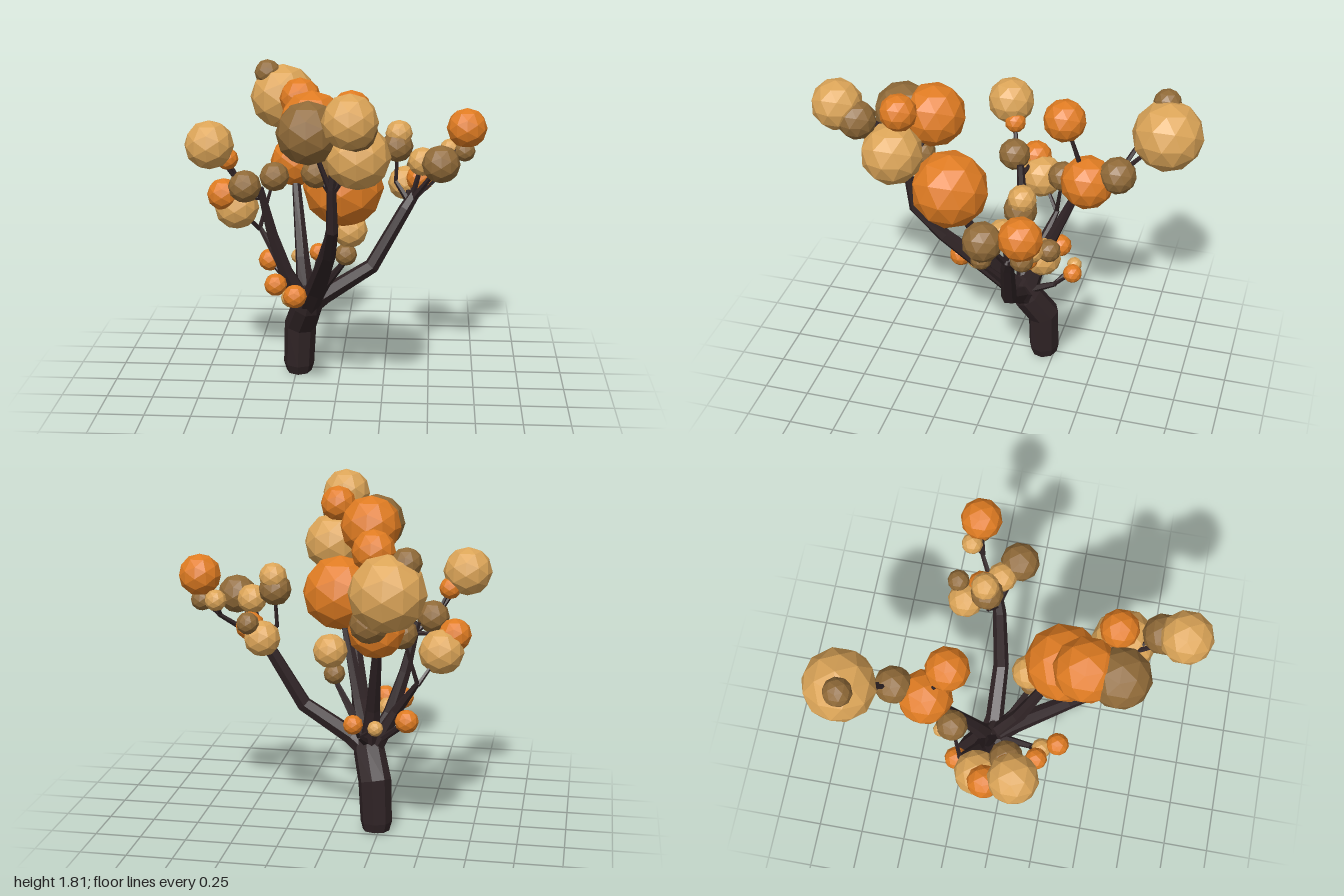
import * as THREE from 'three';

const mat = (name, color) => {
  const m = new THREE.MeshStandardMaterial({ color, flatShading: true });
  m.name = name;
  return m;
};

// Tapered limb lofted through points [x, y, z, radius]
function limbGeometry(points, sides) {
  const P = points.map(p => new THREE.Vector3(p[0], p[1], p[2]));
  const ref = new THREE.Vector3(0.7, -0.1, 0.7);
  const pos = [], idx = [], n = P.length;
  P.forEach((p, i) => {
    const t = new THREE.Vector3();
    if (i > 0) t.add(p.clone().sub(P[i - 1]).normalize());
    if (i < n - 1) t.add(P[i + 1].clone().sub(p).normalize());
    t.normalize();
    const u = t.clone().cross(ref).normalize();
    const v = t.clone().cross(u);
    for (let j = 0; j < sides; j++) {
      const a = (j / sides) * Math.PI * 2;
      const q = p.clone()
        .addScaledVector(u, Math.cos(a) * points[i][3])
        .addScaledVector(v, Math.sin(a) * points[i][3]);
      pos.push(q.x, q.y, q.z);
    }
  });
  for (let i = 0; i < n - 1; i++) {
    for (let j = 0; j < sides; j++) {
      const a = i * sides + j, b = i * sides + (j + 1) % sides;
      idx.push(a, b, a + sides, b, b + sides, a + sides);
    }
  }
  // End caps
  const top = (n - 1) * sides;
  for (let j = 1; j < sides - 1; j++) {
    idx.push(0, j + 1, j, top, top + j, top + j + 1);
  }
  const g = new THREE.BufferGeometry();
  g.setAttribute('position', new THREE.Float32BufferAttribute(pos, 3));
  g.setIndex(idx);
  const flat = g.toNonIndexed();
  flat.computeVertexNormals();
  return flat;
}

export function createModel() {
  const tree = new THREE.Group();
  tree.name = 'autumnTree';
  const bark = mat('bark', 0x2f2325);
  const orange = mat('orangeLeaves', 0xe07c22);
  const tan = mat('tanLeaves', 0xdca558);
  const brown = mat('brownLeaves', 0x906a38);
  const ball = new THREE.IcosahedronGeometry(1, 1);

  const limb = (name, sides, ...points) => {
    const m = new THREE.Mesh(limbGeometry(points, sides), bark);
    m.name = name;
    tree.add(m);
  };

  // A fork whose twigs each end in a leaf cluster [material, x, y, z, radius]
  const spray = (fork, twigRadius, ...clusters) => {
    for (const [material, x, y, z, r] of clusters) {
      limb('twig', 5, [...fork, twigRadius], [x, y, z, twigRadius * 0.6]);
      const m = new THREE.Mesh(ball, material);
      m.name = 'leafCluster';
      m.position.set(x, y, z);
      m.scale.setScalar(r);
      tree.add(m);
    }
  };

  // Trunk
  limb('trunk', 8, [-0.235, 0, -0.195, 0.072], [-0.235, 0.05, -0.19, 0.086],
    [-0.225, 0.28, -0.185, 0.09], [-0.18, 0.42, -0.1, 0.085], [-0.155, 0.52, -0.05, 0.055]);

  // Left side
  limb('leftBranch', 6, [-0.18, 0.41, -0.1, 0.06], [-0.08, 0.49, -0.08, 0.05],
    [0.18, 0.66, -0.09, 0.043], [0.36, 0.98, -0.13, 0.036], [0.41, 1.06, -0.15, 0.03]);
  limb('leftTwig', 5, [0.4, 1.03, -0.15, 0.018], [0.6, 1.19, -0.27, 0.012]);
  limb('leftUprightTwig', 5, [0.39, 1, -0.14, 0.02], [0.305, 1.12, -0.18, 0.012]);
  spray([0.39, 1.02, -0.14], 0.018, [tan, 0.355, 1.08, -0.315, 0.097],
    [orange, 0.437, 1.125, -0.24, 0.078], [tan, 0.45, 1.245, -0.13, 0.08],
    [brown, 0.55, 1.25, -0.052, 0.105], [brown, 0.42, 1.17, -0.363, 0.06]);
  spray([0.305, 1.11, -0.18], 0.011,
    [brown, 0.312, 1.315, -0.185, 0.088], [tan, 0.32, 1.385, -0.195, 0.075]);
  spray([0.59, 1.18, -0.26], 0.012, [orange, 0.69, 1.4, -0.285, 0.112],
    [tan, 0.6, 1.275, -0.32, 0.058], [brown, 0.68, 1.27, -0.29, 0.06]);

  // Front
  limb('frontBranch', 6, [-0.18, 0.4, -0.11, 0.065], [-0.12, 0.56, 0.04, 0.055],
    [-0.03, 0.85, 0.34, 0.04], [0, 1.02, 0.49, 0.033], [0, 1.25, 0.525, 0.025],
    [0.03, 1.5, 0.55, 0.018]);
  spray([0, 1.22, 0.52], 0.017, [tan, 0.132, 1.425, 0.56, 0.168],
    [brown, -0.112, 1.545, 0.57, 0.163], [orange, -0.105, 1.555, 0.4, 0.172],
    [brown, -0.08, 1.32, 0.47, 0.08]);
  spray([0.03, 1.48, 0.55], 0.015, [orange, 0.1, 1.655, 0.527, 0.101],
    [brown, 0.133, 1.6, 0.745, 0.106], [tan, 0.11, 1.663, 0.857, 0.138]);
  limb('innerFrontBranch', 6, [-0.18, 0.42, -0.09, 0.055], [-0.1, 0.65, 0.06, 0.04],
    [0.02, 1.08, 0.24, 0.022]);
  spray([0.02, 1.08, 0.24], 0.02, [orange, 0.045, 1.2, 0.275, 0.211]);
  limb('smallFrontBranch', 6, [-0.16, 0.42, -0.08, 0.045], [-0.07, 0.58, 0.02, 0.025],
    [0.04, 0.74, 0.1, 0.015]);
  spray([0.04, 0.74, 0.1], 0.014,
    [brown, 0.048, 0.782, 0.105, 0.061], [tan, 0.068, 0.915, 0.088, 0.097]);

  // Right side
  limb('rightBranch', 6, [-0.18, 0.4, -0.1, 0.06], [-0.29, 0.62, -0.05, 0.045],
    [-0.36, 0.85, -0.02, 0.033], [-0.42, 1.12, 0.01, 0.02]);
  spray([-0.41, 1.06, 0], 0.014,
    [orange, -0.625, 1.07, -0.03, 0.09], [brown, -0.497, 1.14, 0.065, 0.09]);
  spray([-0.5, 1.12, 0.05], 0.013,
    [orange, -0.585, 1.295, 0.085, 0.06], [tan, -0.672, 1.38, 0.132, 0.132]);
  limb('rearRightBranch', 6, [-0.2, 0.42, -0.1, 0.05], [-0.33, 0.66, -0.13, 0.03],
    [-0.45, 0.84, -0.2, 0.014]);
  spray([-0.45, 0.83, -0.195], 0.013,
    [tan, -0.56, 0.987, -0.08, 0.123], [brown, -0.37, 1.12, -0.245, 0.084]);

  // Back
  limb('backBranch', 6, [-0.18, 0.42, -0.09, 0.06], [-0.21, 0.68, -0.17, 0.04],
    [-0.255, 1.05, -0.33, 0.025], [-0.26, 1.17, -0.4, 0.018]);
  spray([-0.26, 1.17, -0.4], 0.016, [orange, -0.26, 1.175, -0.405, 0.148],
    [orange, -0.225, 1.555, -0.28, 0.116], [brown, -0.25, 1.25, -0.572, 0.102]);
  spray([-0.25, 1.25, -0.57], 0.015,
    [tan, -0.373, 1.463, -0.807, 0.193], [brown, -0.46, 1.61, -0.78, 0.077]);

  // Low shoots around the crotch
  limb('backShoot', 5, [-0.17, 0.47, -0.12, 0.025], [-0.15, 0.55, -0.27, 0.014]);
  spray([-0.15, 0.545, -0.26], 0.012,
    [orange, -0.135, 0.65, -0.367, 0.053], [tan, -0.25, 0.63, -0.352, 0.042]);
  spray([-0.22, 0.47, -0.11], 0.02,
    [orange, -0.4, 0.64, -0.235, 0.064], [brown, -0.374, 0.57, -0.077, 0.03]);
  limb('frontShoot', 5, [-0.18, 0.46, -0.06, 0.028], [-0.23, 0.55, 0.16, 0.016]);
  spray([-0.23, 0.545, 0.15], 0.013, [tan, -0.237, 0.57, 0.215, 0.056],
    [orange, -0.21, 0.605, 0.3, 0.064], [orange, -0.322, 0.635, 0.198, 0.062]);

  return tree;
}
